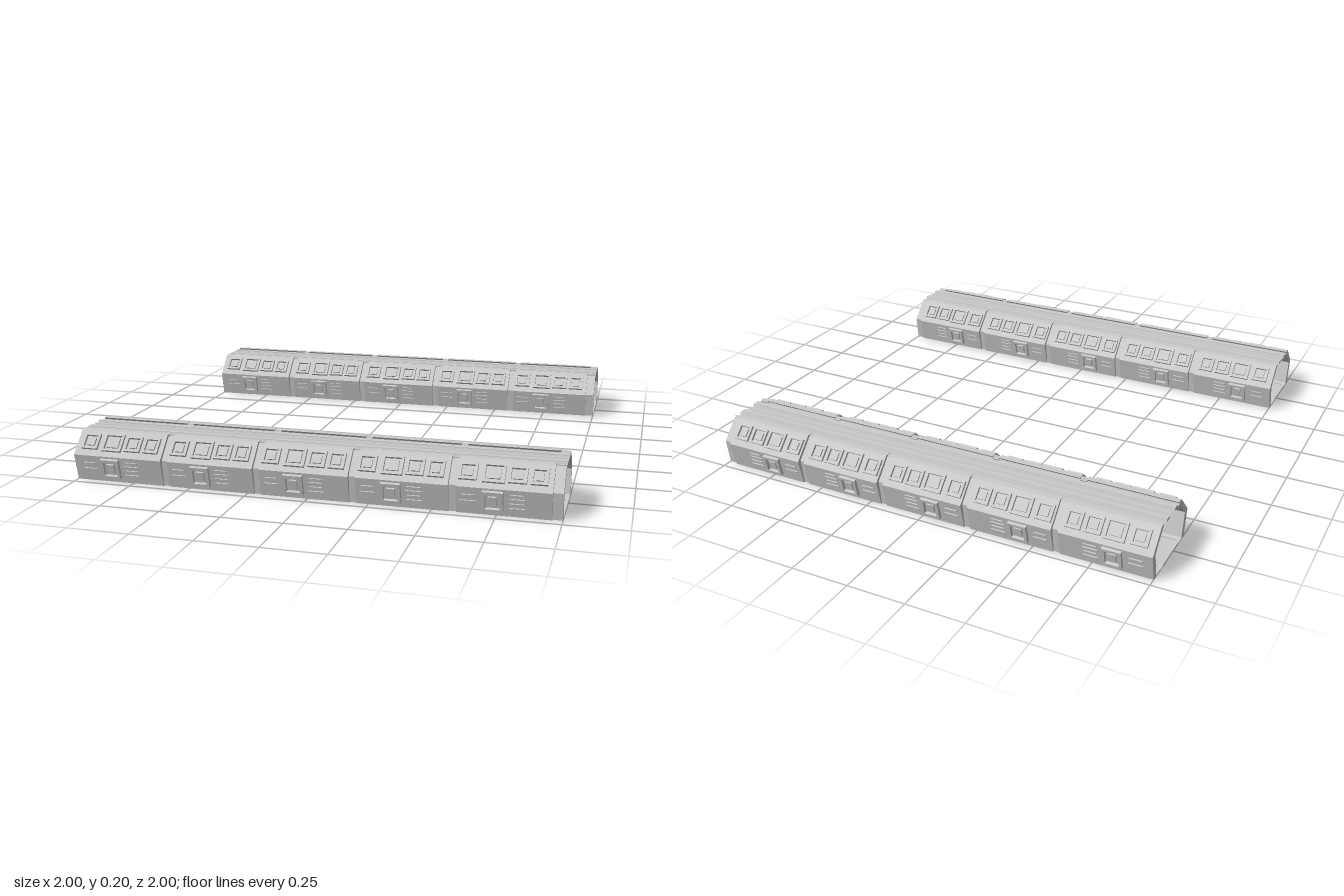
import * as THREE from 'three';

const mat = new THREE.MeshStandardMaterial({ color: 0xcccccc, flatShading: true });
const sheetMat = new THREE.MeshStandardMaterial({ color: 0xcccccc, flatShading: true, side: THREE.DoubleSide });

const PITCH = 0.394, PANEL = 0.365, FIRST = -0.7975;

function add(parent, name, geo, x = 0, y = 0, z = 0, m = mat) {
  const mesh = new THREE.Mesh(geo, m);
  mesh.name = name;
  mesh.position.set(x, y, z);
  parent.add(mesh);
  return mesh;
}

// Solid bar along x from a [z, y] cross-section, centred on x = 0
function barX(section, length) {
  const shape = new THREE.Shape(section.map(([z, y]) => new THREE.Vector2(-z, y)));
  return new THREE.ExtrudeGeometry(shape, { depth: length, bevelEnabled: false })
    .translate(0, 0, -length / 2).rotateY(Math.PI / 2);
}

// Thin folded sheet along x from a [z, y] profile
function sheetX(profile, x0, x1) {
  const pos = [], index = [];
  profile.forEach(([z, y], i) => {
    pos.push(x0, y, z, x1, y, z);
    if (i) {
      const a = 2 * i - 2;
      index.push(a, a + 2, a + 1, a + 1, a + 2, a + 3);
    }
  });
  const g = new THREE.BufferGeometry();
  g.setAttribute('position', new THREE.Float32BufferAttribute(pos, 3));
  g.setIndex(index);
  const flat = g.toNonIndexed();
  flat.computeVertexNormals();
  return flat;
}

function rect(Type, w, h) {
  const p = new Type();
  p.moveTo(-w / 2, -h / 2);
  p.lineTo(w / 2, -h / 2);
  p.lineTo(w / 2, h / 2);
  p.lineTo(-w / 2, h / 2);
  p.closePath();
  return p;
}

// Raised frame with a recessed, stepped pane
function framedPanel(name, w, h, border, depth) {
  const g = new THREE.Group();
  g.name = name;
  const shape = rect(THREE.Shape, w, h);
  shape.holes.push(rect(THREE.Path, w - 2 * border, h - 2 * border));
  add(g, 'frame', new THREE.ExtrudeGeometry(shape, { depth, bevelEnabled: false }));
  add(g, 'pane', new THREE.BoxGeometry(w - 4 * border, h - 4 * border, depth * 0.6), 0, 0, depth * 0.3);
  return g;
}

// Group lying on a sloping wall face between two [z, y] points: x along, y up the slope, z outward
function slopeGroup(name, [z0, y0], [z1, y1]) {
  const g = new THREE.Group();
  g.name = name;
  g.position.set(0, (y0 + y1) / 2, (z0 + z1) / 2);
  g.rotation.x = Math.atan2(z1 - z0, y1 - y0);
  return g;
}

const FOOT = [0.167, 0], WAIST = [0.193, 0.112], EAVE = [0.108, 0.2];
const wallSection = [FOOT, WAIST, EAVE, [0.08, 0.2], [0.163, 0.11], [0.14, 0]];
const jointSection = [[0.16, 0], [0.175, 0.11], [0.1, 0.192], [0.078, 0.192], [0.155, 0.108], [0.138, 0]];

// One wall of a section; dir flips the layout for the side turned by half a circle
function wall(dir, first, last) {
  const side = new THREE.Group();
  side.name = 'sideWall';
  const extra = first ? 0.02 : 0;
  add(side, 'wallShell', barX(wallSection, PANEL + extra), -dir * extra / 2);
  const jointLength = last ? 0.039 : 0.029;
  add(side, 'jointFrame', barX(jointSection, jointLength), dir * (PANEL + jointLength) / 2);

  // Upper windows: centre, width, height
  const upper = slopeGroup('upperWindows', WAIST, EAVE);
  for (const [x, w, h] of [[-0.14, 0.07, 0.07], [-0.041, 0.085, 0.08], [0.049, 0.07, 0.07], [0.13, 0.066, 0.07]]) {
    const win = framedPanel('window', w, h, 0.009, 0.011);
    win.position.x = dir * x;
    win.position.y = 0.003;
    upper.add(win);
  }
  side.add(upper);

  // Lower hatch and vent slats
  const lower = slopeGroup('lowerFittings', FOOT, WAIST);
  const hatch = framedPanel('hatch', 0.08, 0.086, 0.012, 0.014);
  hatch.position.x = dir * -0.041;
  hatch.position.y = 0.006;
  lower.add(hatch);
  const slats = [[-0.135, 0.024], [-0.135, -0.002], [0.05, 0.036], [0.05, 0.018], [0.05, -0.002], [0.05, -0.022]];
  slats.forEach(([x, y], i) =>
    add(lower, 'ventSlat', new THREE.BoxGeometry(i % 2 ? 0.062 : 0.054, 0.006, 0.008), dir * x, y, 0.001));
  side.add(lower);

  if (dir < 0) side.rotation.y = Math.PI;
  return side;
}

// Ribbed roof profile: flats joined by shallow channels
const roofProfile = [[-0.1, 0.198]];
for (const [a, b] of [[-0.09, -0.06], [-0.025, -0.005], [0.005, 0.03], [0.065, 0.09]]) {
  roofProfile.push([a, 0.198], [a + 0.004, 0.187], [b - 0.004, 0.187], [b, 0.198]);
}
roofProfile.push([0.1, 0.198]);

// Floor with two shallow channels
const floorProfile = [[-0.15, 0.006], [-0.105, 0.006], [-0.1, 0.001], [-0.075, 0.001], [-0.07, 0.006],
  [0.1, 0.006], [0.105, 0.001], [0.13, 0.001], [0.135, 0.006], [0.15, 0.006]];

function corridor() {
  const g = new THREE.Group();
  g.name = 'corridor';
  for (let i = 0; i < 5; i++) {
    const section = new THREE.Group();
    section.name = 'corridorSection';
    section.position.x = FIRST + i * PITCH;
    for (const dir of [1, -1]) section.add(wall(dir, i === 0, i === 4));
    const x0 = -PANEL / 2 - (i === 0 ? 0.02 : 0), x1 = PANEL / 2 + (i === 4 ? 0.039 : 0.029);
    add(section, 'ribbedRoof', sheetX(roofProfile, x0, x1), 0, 0, 0, sheetMat);
    add(section, 'floor', sheetX(floorProfile, x0, x1), 0, 0, 0, sheetMat);
    // Narrow strips along the underside
    for (let k = -3; k <= 3; k++) {
      add(section, 'floorStrip', new THREE.BoxGeometry(PANEL, 0.004, 0.008), 0, 0.004, k * 0.04);
    }
    g.add(section);
  }
  // Long roof beams
  for (const z of [0.047, -0.04]) add(g, 'roofBeam', new THREE.BoxGeometry(2, 0.012, 0.026), 0, 0.194, z);
  return g;
}

export function createModel() {
  const model = new THREE.Group();
  model.name = 'twinCorridors';
  for (const z of [0.795, -0.795]) {
    const c = corridor();
    c.position.z = z;
    model.add(c);
  }
  return model;
}
